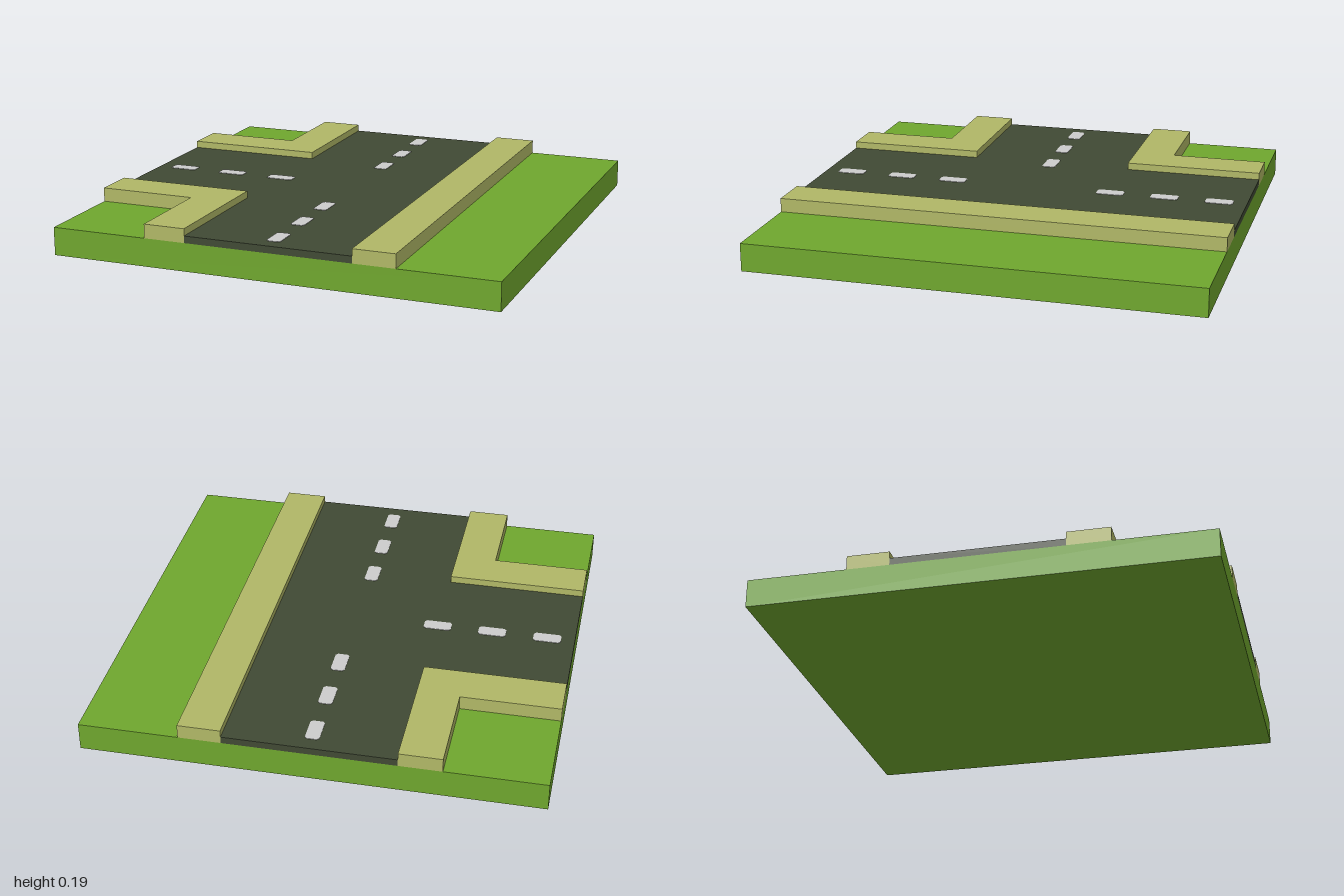
import * as THREE from 'three';

const material = (name, color) => new THREE.MeshStandardMaterial({ name, color });

// Extrudes a plan outline, given as [x, z] points, upward from y
function slab(name, mat, points, y, height) {
  const shape = new THREE.Shape(points.map(([x, z]) => new THREE.Vector2(x, -z)));
  const geometry = new THREE.ExtrudeGeometry(shape, { depth: height, bevelEnabled: false });
  geometry.rotateX(-Math.PI / 2);
  const mesh = new THREE.Mesh(geometry, mat);
  mesh.name = name;
  mesh.position.y = y;
  return mesh;
}

export function createModel() {
  const grass = material('grass green', 0x6fa62e);
  const asphalt = material('dark asphalt', 0x404934);
  const paving = material('sandy paving', 0xb0b766);
  const paint = material('pale road paint', 0xcccccc);

  const baseTop = 0.125, roadHeight = 0.031, kerbHeight = 0.0625;
  const inner = 0.375, outer = 0.5625; // road half width and far edge of the pavement
  const model = new THREE.Group();
  model.name = 'roadJunction';

  // Grass base
  const base = new THREE.Mesh(new THREE.BoxGeometry(2, baseTop, 2), grass);
  base.name = 'grassBase';
  base.position.y = baseTop / 2;
  model.add(base);

  // T-shaped road surface
  model.add(slab('road', asphalt, [
    [-inner, -1], [inner, -1], [inner, 1], [-inner, 1],
    [-inner, inner], [-1, inner], [-1, -inner], [-inner, -inner],
  ], baseTop, roadHeight));

  // Straight pavement on the closed side
  model.add(slab('straightPavement', paving,
    [[inner, -1], [outer, -1], [outer, 1], [inner, 1]], baseTop, kerbHeight));

  // L-shaped pavements around the two corner plots
  for (const [name, s] of [['frontCornerPavement', 1], ['backCornerPavement', -1]]) {
    model.add(slab(name, paving, [
      [-1, s * inner], [-inner, s * inner], [-inner, s],
      [-outer, s], [-outer, s * outer], [-1, s * outer],
    ], baseTop, kerbHeight));
  }

  // Painted lane dashes with clipped corners
  const w = 0.0313, l = 0.0625, c = 0.01;
  const outline = [
    [-w + c, -l], [w - c, -l], [w, -l + c], [w, l - c],
    [w - c, l], [-w + c, l], [-w, l - c], [-w, -l + c],
  ];
  const addDash = (x, z, turned) => {
    const dash = slab('laneDash', paint, outline, baseTop + roadHeight, 0.002);
    dash.position.x = x;
    dash.position.z = z;
    if (turned) dash.rotation.y = Math.PI / 2;
    model.add(dash);
  };
  for (const d of [0.375, 0.625, 0.875]) {
    addDash(0, d, false);
    addDash(0, -d, false);
    addDash(-d, 0, true);
  }

  return model;
}
